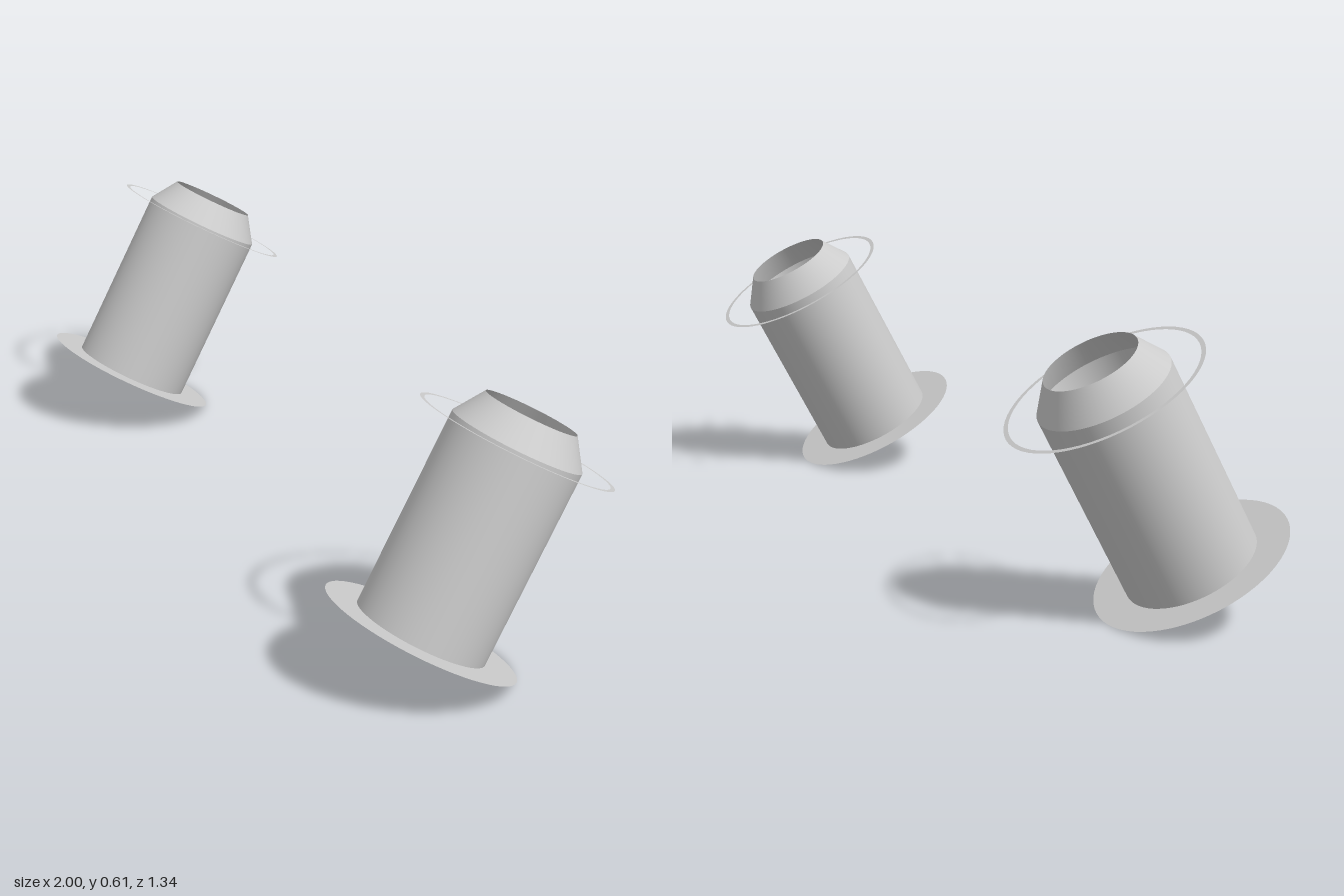
import * as THREE from 'three';

const SEG = 64;
const TUBE_R = 0.149, FLANGE_R = 0.223, RIM_R = 0.105;
const SHOULDER = 0.45, TOP = 0.516;

const material = new THREE.MeshStandardMaterial({ color: 0xcccccc, side: THREE.DoubleSide });

function part(name, geometry, y) {
  const mesh = new THREE.Mesh(geometry, material);
  mesh.name = name;
  mesh.position.y = y;
  return mesh;
}

// Flat ring lying across the local y axis, facing up
function flatRing(inner, outer) {
  return new THREE.RingGeometry(inner, outer, SEG).rotateX(-Math.PI / 2);
}

// Open sleeve standing on a flange, with a tapered collar and a loose thin hoop
function createNozzle(name) {
  const nozzle = new THREE.Group();
  nozzle.name = name;
  nozzle.add(
    part('flange', flatRing(TUBE_R, FLANGE_R), 0),
    part('tube', new THREE.CylinderGeometry(TUBE_R, TUBE_R, SHOULDER, SEG, 1, true), SHOULDER / 2),
    part('collar', new THREE.CylinderGeometry(RIM_R, TUBE_R, TOP - SHOULDER, SEG, 1, true), (SHOULDER + TOP) / 2),
    part('hoop', flatRing(0.213, FLANGE_R), SHOULDER)
  );
  return nozzle;
}

export function createModel() {
  const model = new THREE.Group();
  model.name = 'nozzlePair';

  // Both nozzles lean the same way
  const up = new THREE.Vector3(0, 1, 0);
  const axis = new THREE.Vector3(0.216, 0.878, -0.429).normalize();
  const places = { rightNozzle: [-0.782, 0.107, -0.277], leftNozzle: [0.683, 0.107, 0.468] };

  for (const [name, position] of Object.entries(places)) {
    const nozzle = createNozzle(name);
    nozzle.quaternion.setFromUnitVectors(up, axis);
    nozzle.position.set(...position);
    model.add(nozzle);
  }
  return model;
}
